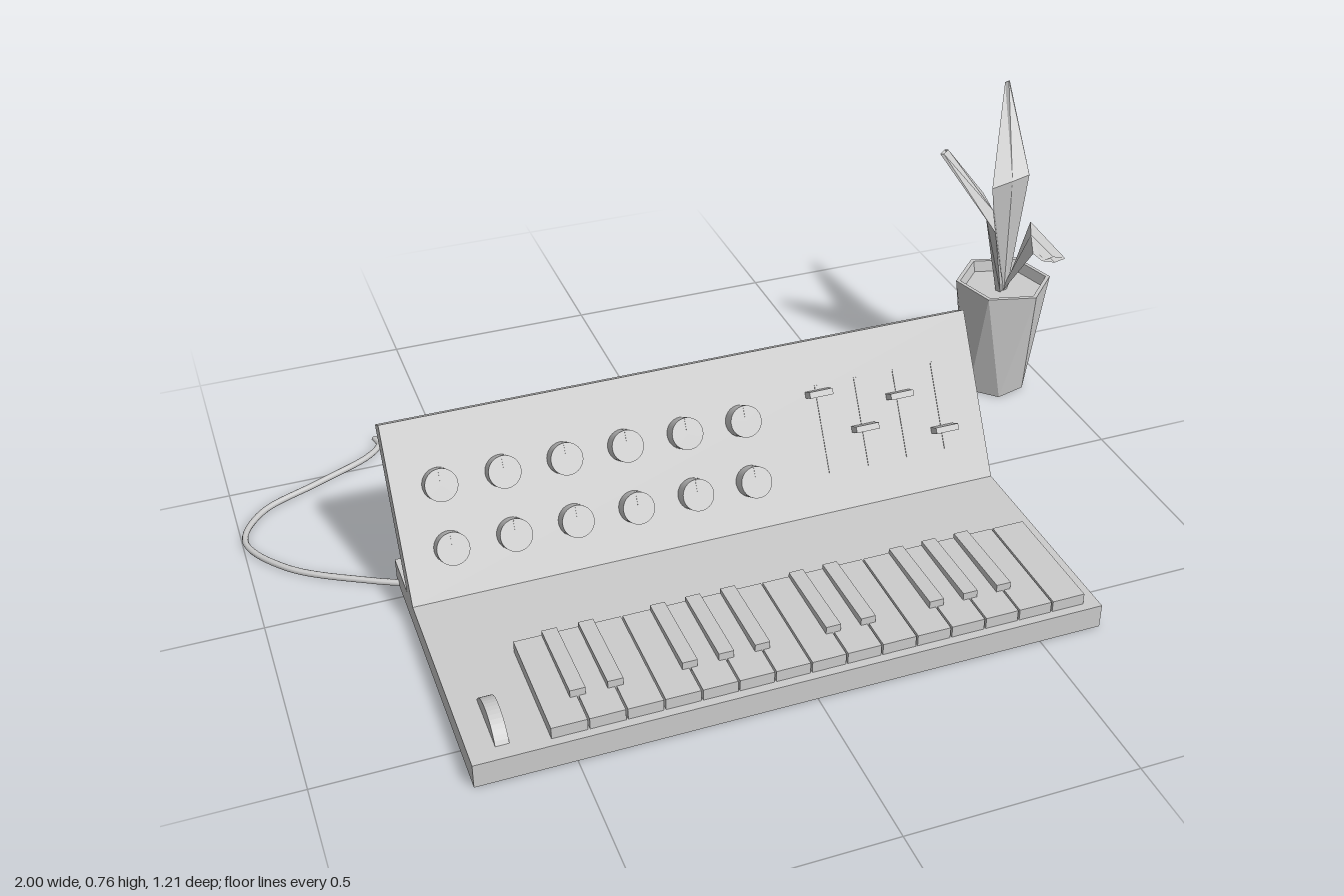
import * as THREE from 'three';

const grey = new THREE.MeshStandardMaterial({ color: 0xcccccc });
const facet = new THREE.MeshStandardMaterial({ color: 0xcccccc, flatShading: true, side: THREE.DoubleSide });

function add(parent, name, geometry, x = 0, y = 0, z = 0, material = grey) {
  const mesh = new THREE.Mesh(geometry, material);
  mesh.name = name;
  mesh.position.set(x, y, z);
  parent.add(mesh);
  return mesh;
}

// Joins a list of closed rings of points with triangles
function loft(rings) {
  const pos = [];
  for (let r = 0; r < rings.length - 1; r++) {
    const a = rings[r], b = rings[r + 1], n = a.length;
    for (let i = 0; i < n; i++) {
      const j = (i + 1) % n;
      pos.push(...a[i], ...a[j], ...b[i], ...a[j], ...b[j], ...b[i]);
    }
  }
  const g = new THREE.BufferGeometry();
  g.setAttribute('position', new THREE.Float32BufferAttribute(pos, 3));
  g.computeVertexNormals();
  return g;
}

// Side profile given as [z, y] points, extruded along x and centred
function profile(points, width) {
  const shape = new THREE.Shape(points.map(([z, y]) => new THREE.Vector2(-z, y)));
  const g = new THREE.ExtrudeGeometry(shape, { depth: width, bevelEnabled: false });
  return g.translate(0, 0, -width / 2).rotateY(Math.PI / 2);
}

const WIDTH = 1.345, MID = -0.0325, DECK = 0.055;

function createKeyboard() {
  const group = new THREE.Group();
  group.name = 'keyboard';
  const pitch = 0.077, x0 = -0.547;
  for (let i = 0; i < 15; i++) {
    add(group, 'whiteKey', new THREE.BoxGeometry(pitch - 0.004, 0.026, 0.268), x0 + (i + 0.5) * pitch, DECK + 0.013, 0.452);
  }
  for (const i of [1, 2, 4, 5, 6, 8, 9, 11, 12, 13]) {
    const g = profile([[0.318, 0.06], [0.516, 0.06], [0.516, 0.098], [0.318, 0.092]], 0.032);
    add(group, 'blackKey', g, x0 + i * pitch);
  }
  // Exposed arc of the control wheel
  const arc = [];
  for (let i = 0; i <= 16; i++) {
    const t = (i / 16 - 0.5) * 2.06;
    arc.push([0.5 + 0.082 * Math.sin(t), 0.012 + 0.082 * Math.cos(t)]);
  }
  add(group, 'controlWheel', profile(arc, 0.028), -0.637);
  return group;
}

function createPanel() {
  const panel = new THREE.Group();
  panel.name = 'controlPanel';
  panel.position.set(0, DECK, 0.11);
  panel.rotation.x = -0.519;
  add(panel, 'panelSlab', new THREE.BoxGeometry(WIDTH, 0.386, 0.047), MID, 0.193, -0.0235);

  // Two rows of knobs with pointer marks
  for (const y of [0.107, 0.242]) {
    for (let i = 0; i < 6; i++) {
      const x = -0.605 + i * 0.135;
      add(panel, 'knob', new THREE.CylinderGeometry(0.035, 0.035, 0.04, 32).rotateX(Math.PI / 2), x, y, 0.02);
      add(panel, 'knobPointer', new THREE.BoxGeometry(0.004, 0.024, 0.002), x, y + 0.02, 0.04);
    }
  }
  // Sliders on thin tracks
  [0.268, 0.172, 0.228, 0.132].forEach((y, i) => {
    const x = 0.256 + i * 0.0945;
    add(panel, 'sliderTrack', new THREE.BoxGeometry(0.006, 0.2, 0.002), x, 0.185, 0.001);
    add(panel, 'sliderCap', new THREE.BoxGeometry(0.055, 0.014, 0.03), x, y, 0.015);
  });
  return panel;
}

function createPlant() {
  const plant = new THREE.Group();
  plant.name = 'pottedPlant';

  // Six-sided pot whose foot is turned half a side against its rim
  const ring = (r, y, degrees, x = 0.885, z = -0.336) => Array.from({ length: 6 }, (_, i) => {
    const a = THREE.MathUtils.degToRad(degrees + 60 * i);
    return [x + r * Math.cos(a), y, z + r * Math.sin(a)];
  });
  add(plant, 'pot', loft([
    ring(0, 0.262, 15), ring(0.1, 0.262, 15), ring(0.106, 0.289, 15), ring(0.1165, 0.289, 15),
    ring(0.078, 0, 45, 0.876, -0.328), ring(0, 0, 45, 0.876, -0.328),
  ]), 0, 0, 0, facet);

  // Leaves: stations of [left edge, right edge], thickened along the middle
  const leaf = (name, stations, [fx, fy, fz]) => {
    const rings = stations.map(([l, r]) => {
      const m = l.map((v, k) => (v + r[k]) / 2);
      return [l, [m[0] + fx, m[1] + fy, m[2] + fz], r, [m[0] - fx, m[1] - fy, m[2] - fz]];
    });
    add(plant, name, loft(rings), 0, 0, 0, facet);
  };
  leaf('tallLeaf', [
    [[0.87, 0.26, -0.33], [0.895, 0.26, -0.33]],
    [[0.815, 0.56, -0.305], [0.911, 0.58, -0.305]],
    [[0.908, 0.755, -0.452], [0.92, 0.758, -0.452]],
  ], [0, 0.004, 0.007]);
  leaf('sideLeaf', [
    [[0.872, 0.26, -0.32], [0.88, 0.26, -0.345]],
    [[0.8, 0.475, -0.245], [0.835, 0.51, -0.38]],
    [[0.715, 0.638, -0.37], [0.722, 0.643, -0.38]],
  ], [0.01, 0.004, 0]);
  leaf('droopingLeaf', [
    [[0.88, 0.26, -0.325], [0.895, 0.26, -0.34]],
    [[0.882, 0.425, -0.205], [0.945, 0.435, -0.335]],
    [[0.9, 0.41, -0.19], [0.965, 0.402, -0.195]],
  ], [-0.003, 0.008, 0]);
  return plant;
}

export function createModel() {
  const model = new THREE.Group();
  model.name = 'synthesizerWithPlant';
  add(model, 'base', new THREE.BoxGeometry(WIDTH, DECK, 0.667), MID, DECK / 2, 0.2715);
  model.add(createKeyboard(), createPanel(), createPlant());

  // Power cable lying on the floor
  const path = new THREE.CatmullRomCurve3([
    [-0.68, -0.03], [-0.76, -0.07], [-0.92, -0.175], [-0.993, -0.3], [-0.94, -0.4],
    [-0.8, -0.47], [-0.67, -0.535], [-0.635, -0.575], [-0.64, -0.605],
  ].map(([x, z]) => new THREE.Vector3(x, 0.007, z)));
  add(model, 'cable', new THREE.TubeGeometry(path, 60, 0.007, 8), 0, 0, 0,
    new THREE.MeshStandardMaterial({ color: 0xcccccc, side: THREE.DoubleSide }));
  return model;
}
